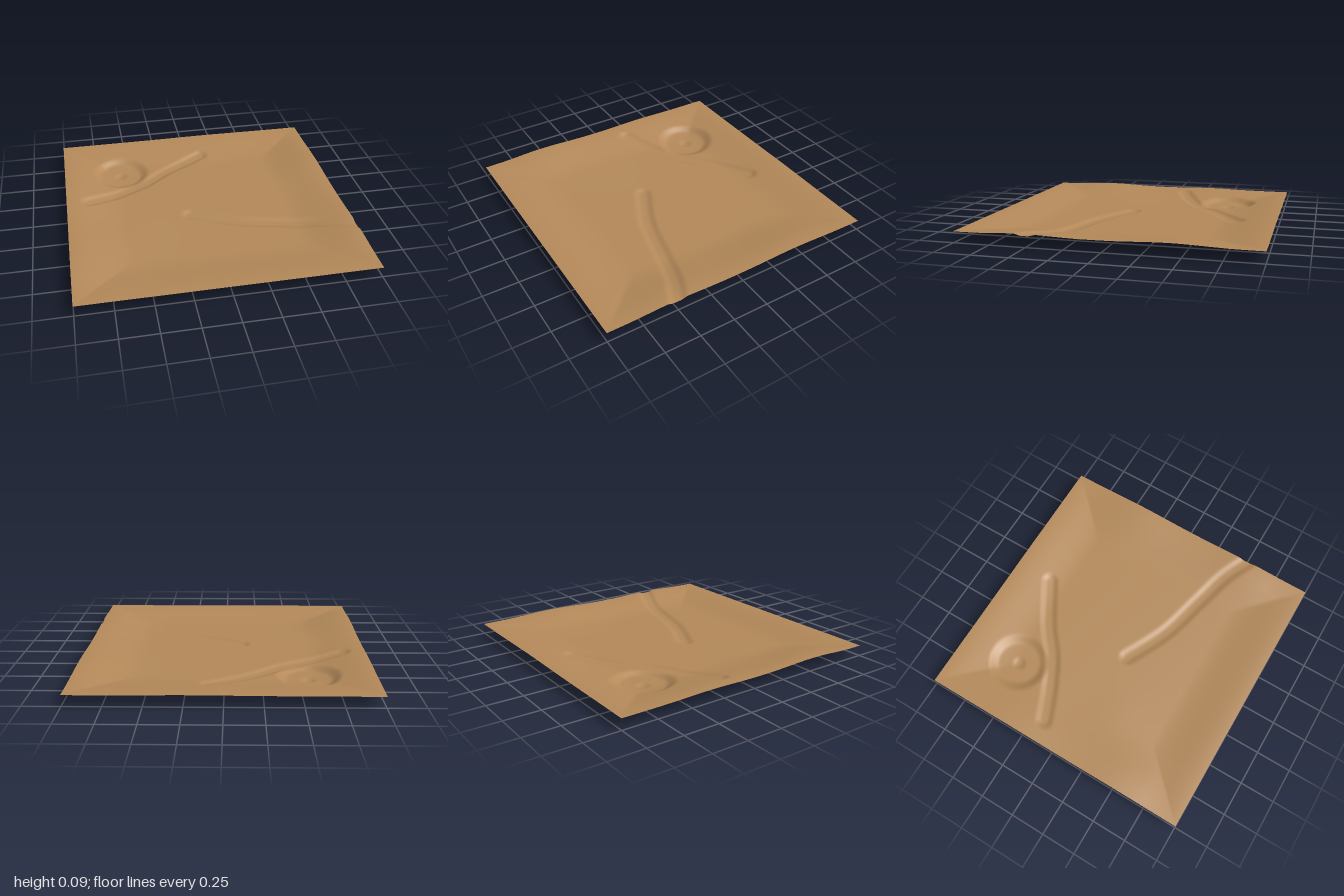
import * as THREE from 'three';

const { smoothstep } = THREE.MathUtils;

// Sample a smooth path through [x, z] points on the ground.
const path = (pts) =>
  new THREE.SplineCurve(pts.map(([x, z]) => new THREE.Vector2(x, z))).getSpacedPoints(70);

const grooves = [
  path([[-0.84, -0.16], [-0.6, -0.27], [-0.4, -0.38], [-0.2, -0.54], [0.1, -0.72]]),
  path([[-0.12, 0.1], [0.2, 0.25], [0.55, 0.34], [0.8, 0.41], [1.05, 0.53]]),
];

// Low swells: x, z, radius, height
const swells = [
  [-0.92, 0.52, 0.28, 0.016],
  [0.92, -0.42, 0.28, 0.014],
  [0.95, 0.52, 0.25, 0.012],
  [-0.95, -0.35, 0.25, 0.008],
  [-0.55, 0.25, 0.2, 0.004],
  [0.2, -0.95, 0.35, 0.004],
];

function groundHeight(x, z) {
  // Flat floor rising to a mitred square border
  const edge = Math.max(Math.abs(x), Math.abs(z));
  let y = 0.038 + 0.04 * smoothstep(edge, 0.58, 1);

  // Swells fade out towards the corners
  const corner = 1 - smoothstep(Math.min(Math.abs(x), Math.abs(z)), 0.65, 1);
  for (const [sx, sz, r, h] of swells) {
    y += h * corner * Math.exp(-((x - sx) ** 2 + (z - sz) ** 2) / (r * r));
  }

  // Round crater with a small pit in the middle
  const d = Math.hypot(x + 0.565, z + 0.565);
  y -= 0.027 * (1 - smoothstep(d, 0.145, 0.225));
  y -= 0.009 * (1 - smoothstep(d, 0.015, 0.055));

  // Shallow winding grooves
  for (const points of grooves) {
    let near = 1;
    for (const p of points) near = Math.min(near, Math.hypot(x - p.x, z - p.y));
    y -= 0.013 * (1 - smoothstep(near, 0.02, 0.07));
  }
  return y;
}

export function createModel() {
  const group = new THREE.Group();
  const sand = new THREE.MeshStandardMaterial({ color: 0xb58a5a, side: THREE.DoubleSide });
  sand.name = 'sand';

  // One smooth sheet of ground
  const geometry = new THREE.PlaneGeometry(2, 2, 160, 160).rotateX(-Math.PI / 2);
  const pos = geometry.attributes.position;
  for (let i = 0; i < pos.count; i++) {
    pos.setY(i, groundHeight(pos.getX(i), pos.getZ(i)));
  }
  geometry.computeBoundingBox();
  geometry.translate(0, -geometry.boundingBox.min.y, 0);
  geometry.computeVertexNormals();

  const ground = new THREE.Mesh(geometry, sand);
  ground.name = 'ground';
  group.add(ground);
  return group;
}
